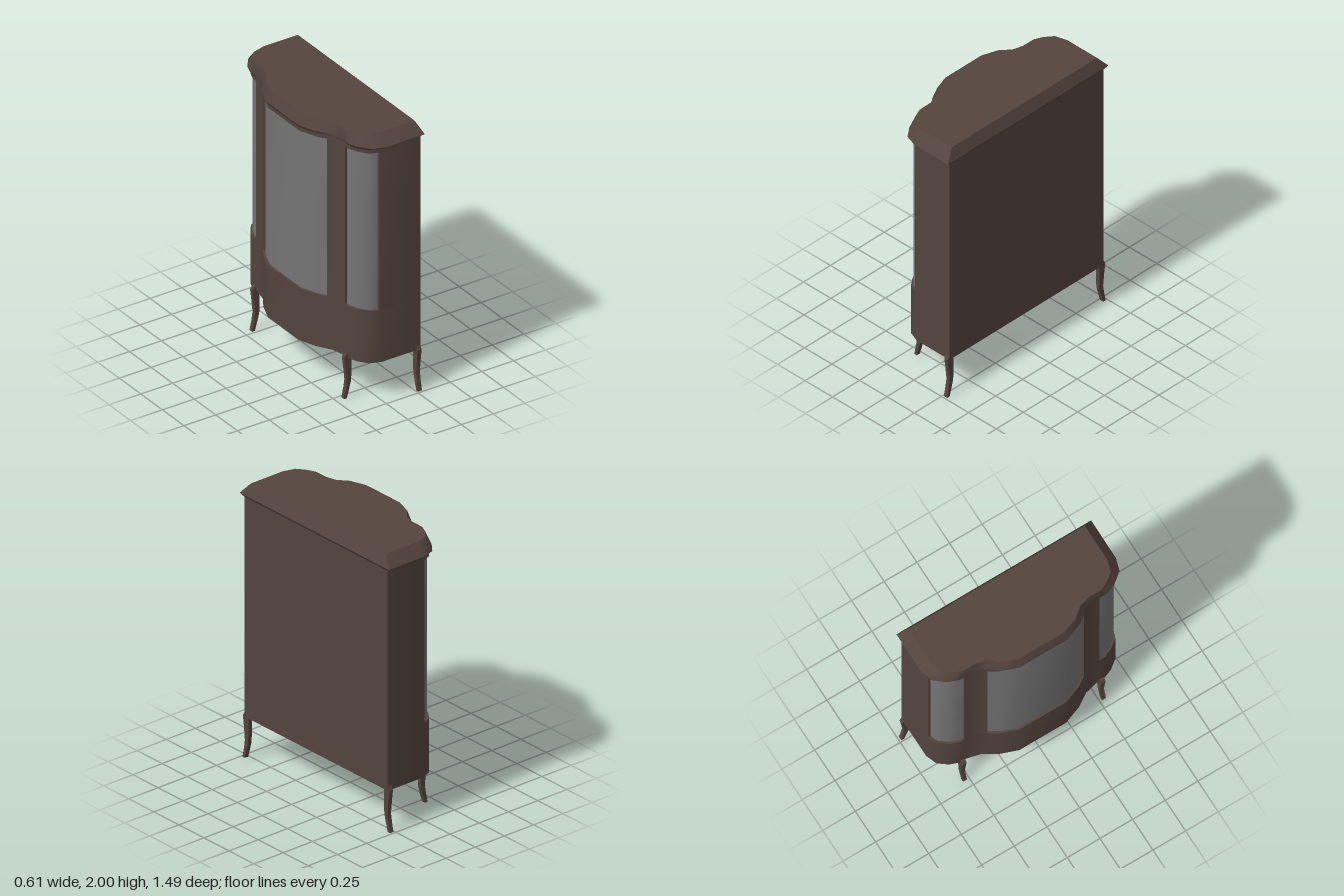
import * as THREE from 'three';
import { toCreasedNormals } from 'three/addons/utils/BufferGeometryUtils.js';

// Half plan outlines [x, z], running from the flat back (+x) round to the bowed front (-x)
const BODY = [[0.29, 0.715], [-0.01, 0.715], [-0.09, 0.685], [-0.14, 0.62], [-0.165, 0.555],
  [-0.165, 0.5], [-0.19, 0.4], [-0.25, 0.305], [-0.297, 0.18]];
const RIM = [[0.305, 0.745], [0, 0.745], [-0.09, 0.717], [-0.152, 0.638], [-0.177, 0.57],
  [-0.172, 0.5], [-0.197, 0.39], [-0.262, 0.315], [-0.308, 0.187]];
const TOP = [[0.27, 0.675], [0, 0.675], [-0.09, 0.65], [-0.14, 0.585], [-0.163, 0.53],
  [-0.165, 0.43], [-0.185, 0.355], [-0.245, 0.285], [-0.285, 0.168]];

const mirrorZ = (pts) => pts.map(([x, z]) => [x, -z]).reverse();
const closed = (half) => [...half, ...mirrorZ(half)];

// Moves a closed outline inward by d
function inset(ring, d) {
  const n = ring.length;
  return ring.map(([x, z], i) => {
    const p = ring[(i + n - 1) % n], q = ring[(i + 1) % n];
    const a = new THREE.Vector2(-(z - p[1]), x - p[0]).normalize();
    const b = new THREE.Vector2(-(q[1] - z), q[0] - x).normalize();
    const m = a.clone().add(b).normalize();
    const k = d / Math.max(0.4, m.dot(a));
    return [x + m.x * k, z + m.y * k];
  });
}

// Solid through stacked plan outlines: levels = [[ring, y], ...]
function loft(levels) {
  const pos = [], index = [];
  const n = levels[0][0].length;
  const flat = levels[0][0].map(([x, z]) => new THREE.Vector2(x, z));
  const flip = THREE.ShapeUtils.area(flat) < 0;
  for (const [ring, y] of levels) for (const [x, z] of ring) pos.push(x, y, z);
  const tri = (a, b, c) => (flip ? index.push(a, c, b) : index.push(a, b, c));
  for (let l = 0; l < levels.length - 1; l++) {
    for (let i = 0; i < n; i++) {
      const j = (i + 1) % n, a = l * n, b = a + n;
      tri(a + i, b + i, a + j);
      tri(a + j, b + i, b + j);
    }
  }
  // End caps
  const cap = (level, up) => {
    const pts = levels[level][0].map(([x, z]) => new THREE.Vector2(x, z));
    const o = level * n;
    for (const [a, b, c] of THREE.ShapeUtils.triangulateShape(pts, [])) {
      const s = THREE.ShapeUtils.area([pts[a], pts[b], pts[c]]);
      if ((s < 0) === up) index.push(o + a, o + b, o + c);
      else index.push(o + a, o + c, o + b);
    }
  };
  cap(0, false);
  cap(levels.length - 1, true);
  const g = new THREE.BufferGeometry();
  g.setAttribute('position', new THREE.Float32BufferAttribute(pos, 3));
  g.setIndex(index);
  return toCreasedNormals(g, 0.7);
}

// Curved leg; its profile runs outward along +x from the inner edge
function legGeometry() {
  const profile = [[0, 0.325], [0, 0.2], [0.004, 0.12], [0.02, 0.06], [0.037, 0], [0.06, 0],
    [0.045, 0.07], [0.036, 0.13], [0.046, 0.23], [0.056, 0.305], [0.042, 0.328]];
  const shape = new THREE.Shape(profile.map(([u, y]) => new THREE.Vector2(u, y)));
  const g = new THREE.ExtrudeGeometry(shape, { depth: 0.03, bevelEnabled: false });
  g.translate(0, 0, -0.015);
  return toCreasedNormals(g, 0.6);
}

export function createModel() {
  const wood = new THREE.MeshStandardMaterial({ color: 0x54443e });
  wood.name = 'dark wood';
  const glass = new THREE.MeshStandardMaterial({ color: 0x757575 });
  glass.name = 'grey glass';

  const model = new THREE.Group();
  model.name = 'displayCabinet';
  const add = (name, geometry, material) => {
    const mesh = new THREE.Mesh(geometry, material);
    mesh.name = name;
    model.add(mesh);
    return mesh;
  };

  const body = closed(BODY);
  const prism = (ring, y0, y1) => loft([[ring, y0], [ring, y1]]);

  // Lower case, top rail and back case
  add('baseCase', prism(body, 0.3, 0.69), wood);
  add('topRail', prism(body, 1.87, 1.9), wood);
  add('backCase', prism(closed([[0.29, 0.715], [-0.01, 0.715], [-0.03, 0.7075]]), 0.69, 1.87), wood);

  // Recessed bowed glazing
  add('glazing', prism(inset(body, 0.015), 0.68, 1.88), glass);

  // Stiles between the centre and side panes
  const stile = [[-0.165, 0.515], [-0.165, 0.5], [-0.19, 0.4], [-0.209, 0.37], [-0.17, 0.345], [-0.12, 0.515]];
  add('leftStile', prism(stile, 0.69, 1.87), wood);
  add('rightStile', prism(mirrorZ(stile), 0.69, 1.87), wood);

  // Cornice: flares out, then slopes back to the flat top
  add('cornice', loft([[body, 1.895], [closed(RIM), 1.918], [closed(TOP), 2]]), wood);

  // Legs: rear pair splays sideways, front pair splays forward
  const leg = legGeometry();
  for (const s of [1, -1]) {
    const rear = add('rearLeg', leg, wood);
    rear.position.set(0.274, 0, s * 0.676);
    rear.rotation.y = -s * Math.PI / 2;
    const front = add('frontLeg', leg, wood);
    front.position.set(-0.136, 0, s * 0.532);
    front.rotation.y = Math.PI;
  }
  return model;
}
